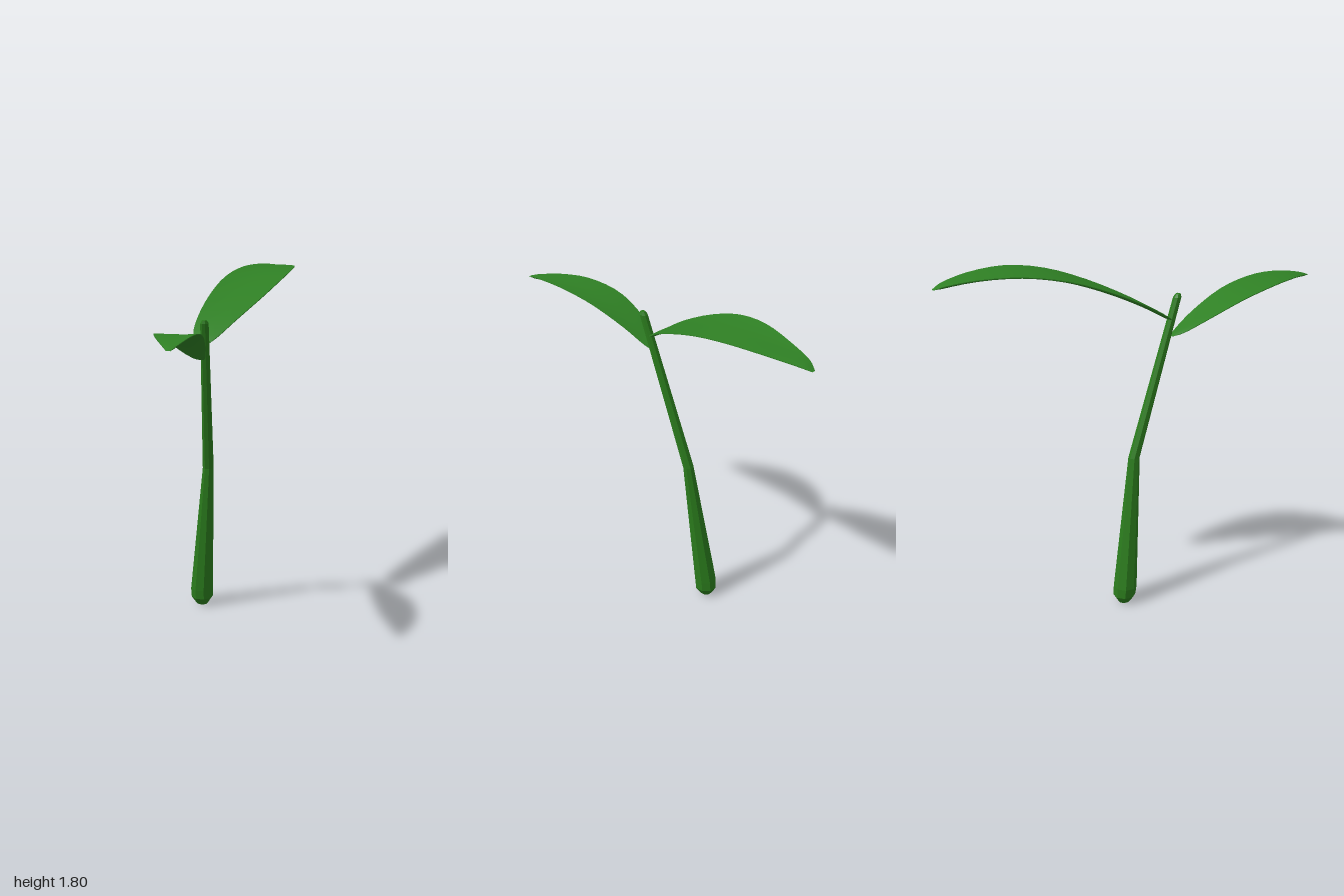
import * as THREE from 'three';
import { toCreasedNormals } from 'three/addons/utils/BufferGeometryUtils.js';

// Skin a list of closed rings, each with the same number of points
function loft(rings) {
  const n = rings[0].length;
  const index = [];
  for (let i = 0; i < rings.length - 1; i++) {
    for (let j = 0; j < n; j++) {
      const a = i * n + j, b = i * n + (j + 1) % n;
      const c = a + n, d = b + n;
      index.push(a, c, b, b, c, d);
    }
  }
  const geometry = new THREE.BufferGeometry().setFromPoints(rings.flat());
  geometry.setIndex(index);
  return geometry;
}

// Stations run in order of z: [z, left edge x, midrib x, right edge x, y]
function leafGeometry(stations, liftLeft, liftRight) {
  const curveOf = (column) => new THREE.CatmullRomCurve3(
    stations.map((s) => new THREE.Vector3(s[column], s[4], s[0])));
  const [left, mid, right] = [1, 2, 3].map(curveOf);
  const steps = 24, across = 8;
  const rings = [];
  for (let i = 0; i <= steps; i++) {
    const t = i / steps;
    const l = left.getPoint(t), m = mid.getPoint(t), r = right.getPoint(t);
    const swell = Math.sin(Math.PI * t);
    const point = (k, side) => {
      const u = k / across * 2 - 1;
      const p = m.clone().lerp(u < 0 ? l : r, Math.abs(u));
      // Edges curl up from the midrib, and the blade thins towards them
      p.y += (u < 0 ? liftLeft : liftRight) * u * u * swell;
      p.y += side * (0.002 + 0.008 * (1 - u * u)) * Math.min(1, swell * 3);
      return p;
    };
    const ring = [];
    for (let k = 0; k <= across; k++) ring.push(point(k, 1));
    for (let k = across; k >= 0; k--) ring.push(point(k, -1));
    rings.push(ring);
  }
  return toCreasedNormals(loft(rings), 0.8);
}

// Centre x, y, z and radius up the stem
function stemGeometry() {
  const sections = [
    [-0.17, 0.01, -0.16, 0], [-0.17, 0.01, -0.16, 0.03],
    [-0.17, 0.05, -0.157, 0.058], [-0.17, 0.1, -0.152, 0.06],
    [-0.112, 0.8, -0.07, 0.029], [-0.061, 1.6, 0.197, 0.021],
    [-0.06, 1.616, 0.202, 0.013], [-0.06, 1.617, 0.203, 0],
  ];
  const sides = 8;
  return loft(sections.map(([x, y, z, r]) =>
    Array.from({ length: sides }, (_, j) => {
      const a = (j + 0.5) / sides * Math.PI * 2;
      return new THREE.Vector3(x + r * Math.cos(a), y, z + r * Math.sin(a));
    })));
}

export function createModel() {
  const group = new THREE.Group();
  const add = (name, geometry, material) => {
    const mesh = new THREE.Mesh(geometry, material);
    mesh.name = name;
    group.add(mesh);
  };
  const stemGreen = new THREE.MeshStandardMaterial({ color: 0x2a7a1c, flatShading: true });
  const leafGreen = new THREE.MeshStandardMaterial({ color: 0x2f8024, side: THREE.DoubleSide });

  add('stem', stemGeometry(), stemGreen);

  // Large leaf arching to the back
  add('largeLeaf', leafGeometry([
    [-1.0, 0.11, 0.12, 0.13, 1.755],
    [-0.95, 0.08, 0.115, 0.155, 1.768],
    [-0.8, 0.03, 0.105, 0.2, 1.785],
    [-0.6, -0.04, 0.095, 0.225, 1.785],
    [-0.4, -0.095, 0.07, 0.205, 1.75],
    [-0.2, -0.13, 0.02, 0.145, 1.68],
    [0.0, -0.148, -0.03, 0.05, 1.585],
    [0.11, -0.14, -0.065, -0.015, 1.52],
    [0.16, -0.095, -0.075, -0.055, 1.49],
  ], 0.018, 0.008), leafGreen);

  // Small leaf arching to the front
  add('smallLeaf', leafGeometry([
    [0.15, -0.1, -0.09, -0.075, 1.41],
    [0.2, -0.14, -0.1, -0.055, 1.435],
    [0.3, -0.18, -0.108, -0.03, 1.49],
    [0.5, -0.202, -0.1, 0.01, 1.573],
    [0.7, -0.17, -0.075, 0.03, 1.61],
    [0.85, -0.11, -0.04, 0.025, 1.612],
    [0.95, -0.055, -0.02, 0.008, 1.602],
    [1.0, -0.025, -0.015, -0.005, 1.595],
  ], 0.008, 0.014), leafGreen);

  return group;
}
